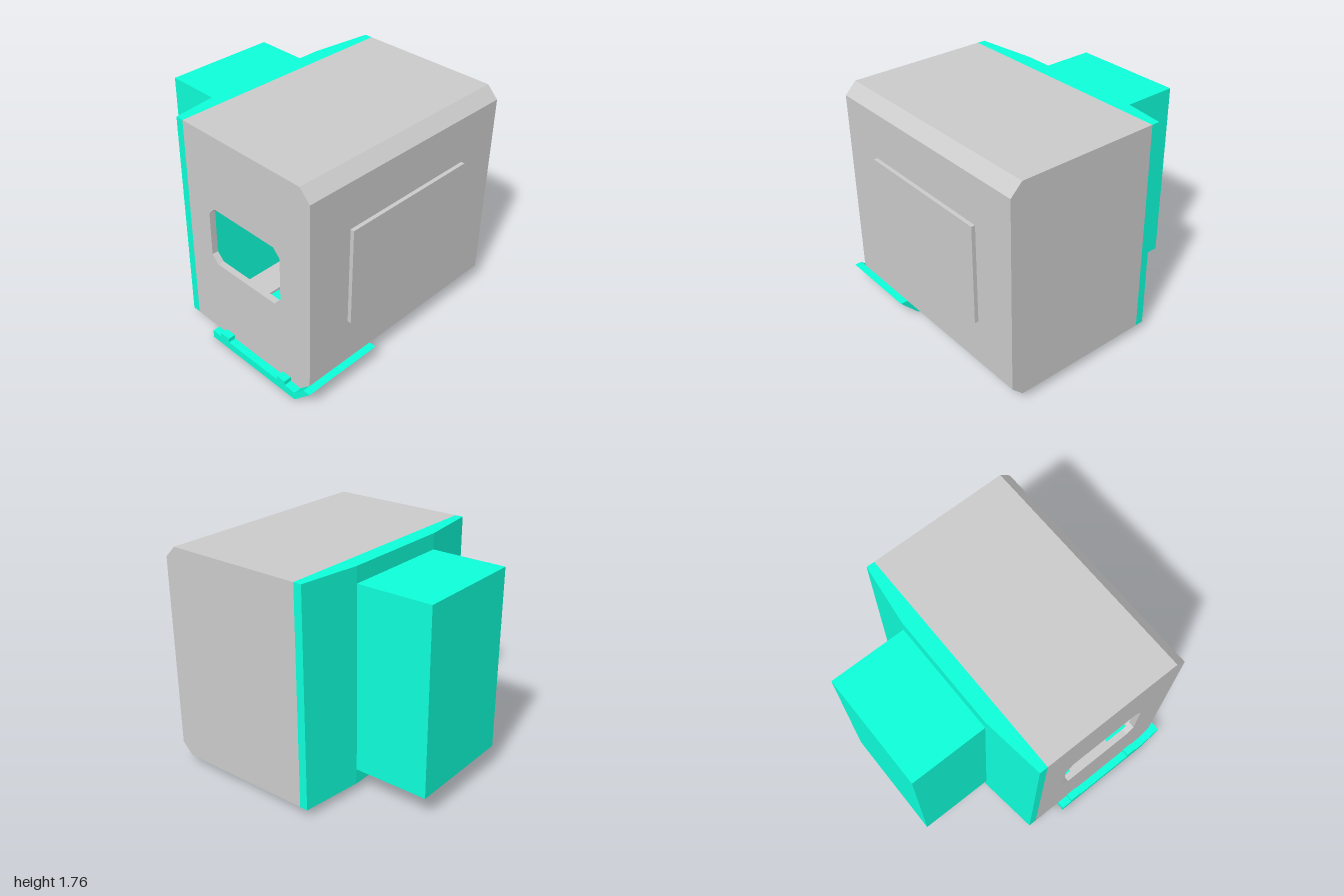
import * as THREE from 'three';

const grey = new THREE.MeshStandardMaterial({ color: 0xcccccc, flatShading: true, side: THREE.DoubleSide });
const teal = new THREE.MeshStandardMaterial({ color: 0x0effda, flatShading: true, side: THREE.DoubleSide });

// Prism from an outline in the first two axes, with optional holes
function prism(points, holes, depth) {
  const flip = (list) => list.map(([a, b]) => new THREE.Vector2(a, b));
  const shape = new THREE.Shape(flip(points));
  holes.forEach((h) => shape.holes.push(new THREE.Path(flip(h))));
  return new THREE.ExtrudeGeometry(shape, { depth, bevelEnabled: false });
}

// Outline of [z, y] points, extruded from x0 to x1
function sidePrism(points, x0, x1, holes = []) {
  const turn = (list) => list.map(([z, y]) => [-z, y]);
  return prism(turn(points), holes.map(turn), x1 - x0).rotateY(Math.PI / 2).translate(x0, 0, 0);
}

// Outline of [x, z] points, extruded from y0 to y1
function planPrism(points, y0, y1, holes = []) {
  const turn = (list) => list.map(([x, z]) => [x, -z]);
  return prism(turn(points), holes.map(turn), y1 - y0).rotateX(-Math.PI / 2).translate(0, y0, 0);
}

// Box from its limits
function block(x0, x1, y0, y1, z0, z1) {
  return new THREE.BoxGeometry(x1 - x0, y1 - y0, z1 - z0)
    .translate((x0 + x1) / 2, (y0 + y1) / 2, (z0 + z1) / 2);
}

const rect = (a0, a1, b0, b1) => [[a0, b0], [a1, b0], [a1, b1], [a0, b1]];
const octagon = (a0, a1, b0, b1, c) => [
  [a0 + c, b0], [a1 - c, b0], [a1, b0 + c], [a1, b1 - c],
  [a1 - c, b1], [a0 + c, b1], [a0, b1 - c], [a0, b0 + c],
];

export function createModel() {
  const model = new THREE.Group();
  const add = (name, geometry, material = grey) => {
    const mesh = new THREE.Mesh(geometry, material);
    mesh.name = name;
    model.add(mesh);
  };

  const L = -0.91, R = 0.965, bottom = 0.065, top = 1.76, back = -0.27, front = 0.94;

  // Hollow housing: side walls, top and front band, floor with an opening
  const profile = [
    [back, bottom], [0.85, bottom], [front, 0.155], [front, 1.67], [0.85, top], [back, top],
  ];
  add('windowWall', sidePrism(profile, L, L + 0.05, [octagon(-0.05, 0.66, 0.69, 1.17, 0.06)]));
  add('plainWall', sidePrism(profile, R - 0.02, R));
  const t = 0.02;
  add('topAndFrontShell', sidePrism([
    ...profile.slice(1),
    [back, top - t], [0.84, top - t], [front - t, 1.66], [front - t, 0.165], [0.84, bottom + t],
  ], L + 0.05, R - 0.02));
  const vent = rect(0.525, 0.805, 0.255, 0.57);
  add('floor', planPrism(rect(L + 0.05, R - 0.02, back, 0.85), bottom, bottom + t,
    [rect(L + 0.06, 0.37, -0.03, 0.835), vent]));
  add('frontPanel', block(-0.545, 0.605, 0.52, 1.305, front - 0.01, 0.97));

  // Square vent frame below the floor
  add('ventFrame', planPrism(rect(0.485, 0.845, 0.215, 0.61), 0.033, bottom, [vent]));
  add('ventPlate', block(0.515, 0.815, 0.11, 0.13, 0.245, 0.58));

  // Tapered back cover with the rear box
  add('backCover', planPrism(
    [[L, back], [L, -0.335], [-0.425, -0.395], [0.48, -0.395], [R, -0.335], [R, back]],
    bottom, top), teal);
  add('rearBox', block(-0.425, 0.48, 0.185, 1.635, -1, -0.39), teal);

  // Bottom hatch: flat plate with a recess, bent lip and two hinge knuckles
  const recess = octagon(-0.89, -0.35, 0.22, 0.62, 0.06);
  add('hatchPlate', planPrism(rect(-0.97, -0.3, -0.03, 0.85), 0, bottom, [recess]), teal);
  add('hatchLip', sidePrism(
    [[0.85, 0], [1, 0.155], [front, 0.155], [0.85, bottom]], -0.97, -0.3), teal);
  add('recessRim', planPrism(recess, 0.001, bottom,
    [octagon(-0.885, -0.355, 0.225, 0.615, 0.058)]));
  add('recessPlate', planPrism(recess, 0.058, 0.068));
  for (const [z0, z1] of [[0.06, 0.15], [0.67, 0.75]]) {
    add('hingeKnuckle', block(-0.97, L, bottom, 0.1, z0, z1), teal);
  }

  return model;
}
